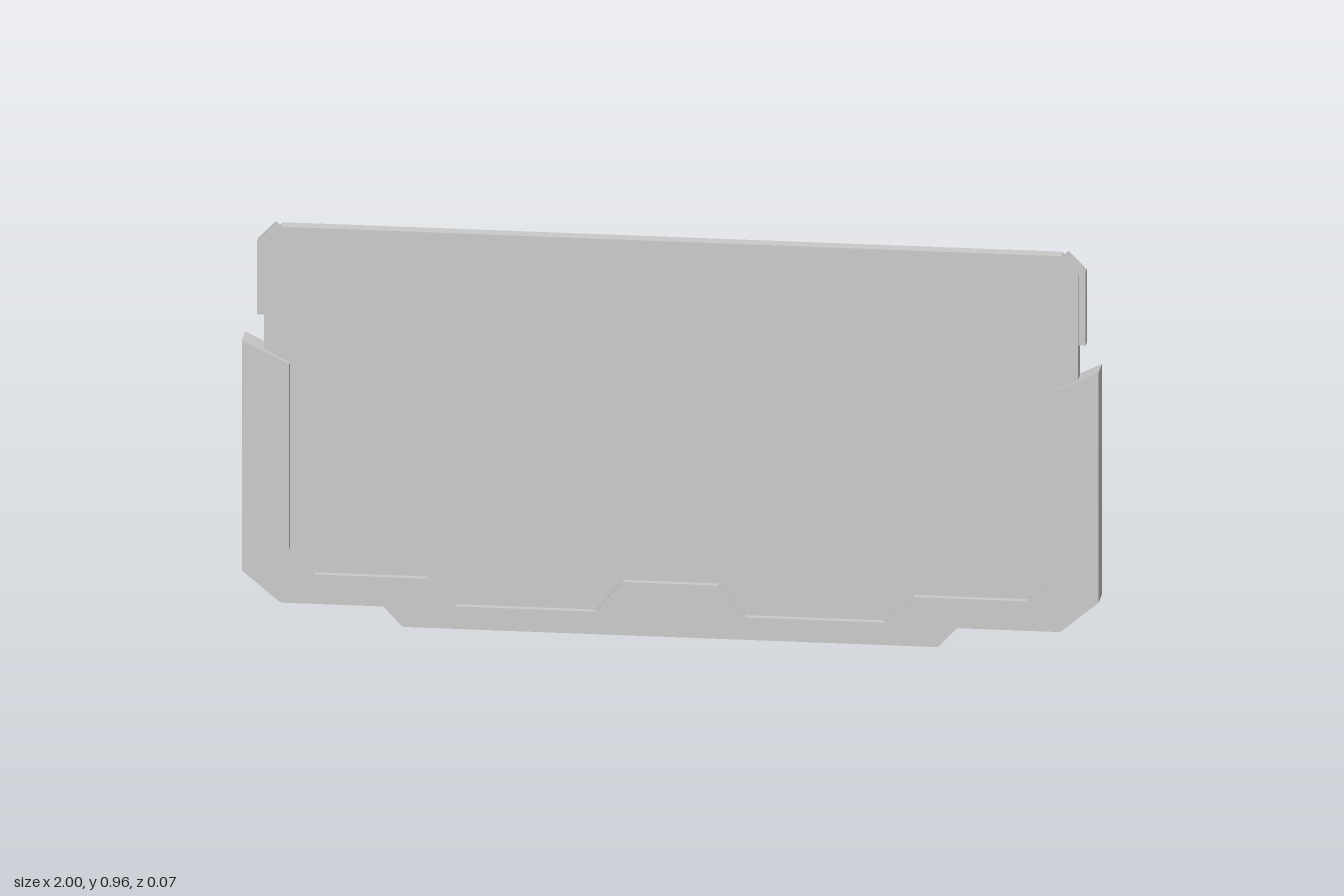
import * as THREE from 'three';

const material = new THREE.MeshStandardMaterial({ color: 0xcccccc, flatShading: true });

// Flat plate: outline extruded symmetrically about z = 0
function plate(name, points, depth) {
  const shape = new THREE.Shape(points.map(([x, y]) => new THREE.Vector2(x, y)));
  const geometry = new THREE.ExtrudeGeometry(shape, { depth, bevelEnabled: false });
  geometry.translate(0, 0, -depth / 2);
  const mesh = new THREE.Mesh(geometry, material);
  mesh.name = name;
  return mesh;
}

const mirror = (points) => points.map(([x, y]) => [-x, y]).reverse();

export function createModel() {
  const group = new THREE.Group();
  group.name = 'framedPanel';

  // Thick U-shaped frame: right half, from bottom centre round to inner centre
  const outer = [[0.625, 0], [0.67, 0.048], [0.91, 0.048], [1, 0.123], [1, 0.685]];
  const inner = [
    [0.89, 0.63], [0.89, 0.178], [0.832, 0.12], [0.567, 0.12],
    [0.5, 0.055], [0.175, 0.055], [0.112, 0.13],
  ];
  const half = [...outer, ...inner];
  group.add(plate('frame', [...half, ...mirror(half)], 0.066));

  // Thin panel held in the frame, with clipped top corners
  const side = [[0.82, 0.075], [0.95, 0.18], [0.95, 0.915], [0.91, 0.96]];
  const foot = [[0.6, 0.03], [0.64, 0.075]];
  const panelHalf = [...foot, ...side];
  group.add(plate('panel', [...panelHalf, ...mirror(panelHalf)], 0.034));

  // Narrow edge clips wrapping the upper corners
  const clip = [
    [0.93, 0.742], [0.967, 0.742], [0.967, 0.922], [0.925, 0.965], [0.905, 0.945], [0.93, 0.91],
  ];
  group.add(plate('leftClip', clip, 0.02));
  group.add(plate('rightClip', mirror(clip), 0.02));

  return group;
}
